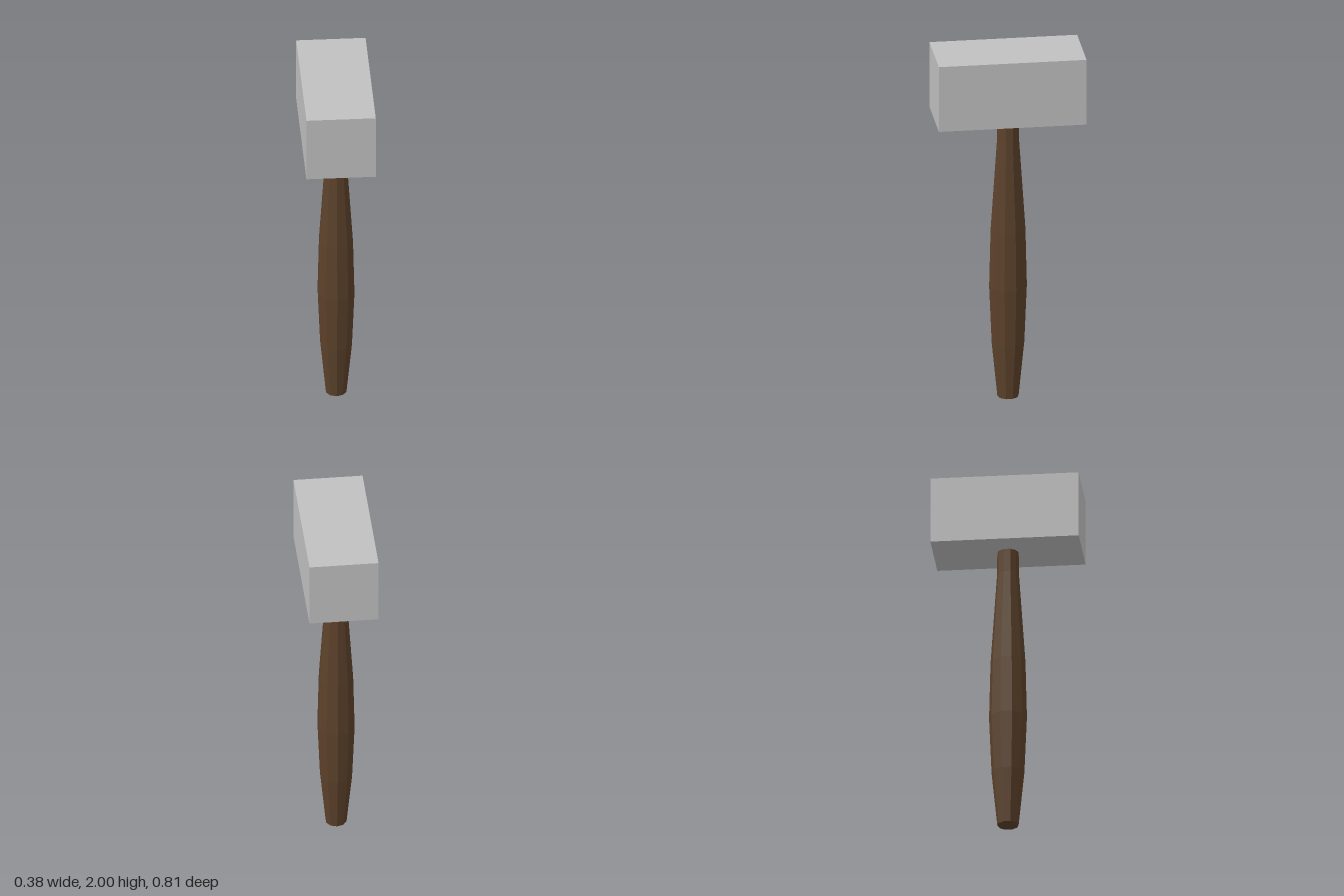
import * as THREE from 'three';

export function createModel() {
  const model = new THREE.Group();
  model.name = 'hammer';

  const steel = new THREE.MeshStandardMaterial({ color: 0xc0c0c0, flatShading: true });
  steel.name = 'grey steel';
  const wood = new THREE.MeshStandardMaterial({ color: 0x5c422b, flatShading: true });
  wood.name = 'dark wood';

  // Block head, long axis along z
  const head = new THREE.Mesh(new THREE.BoxGeometry(0.376, 0.376, 0.806), steel);
  head.name = 'head';
  head.position.y = 1.812;
  model.add(head);

  // Ten-sided swelling handle, closed at both ends: [radius, height]
  const profile = [
    [0, 0], [0.058, 0], [0.089, 0.31], [0.103, 0.64], [0.095, 0.97],
    [0.06, 1.49], [0.058, 1.63], [0, 1.63],
  ].map(([r, y]) => new THREE.Vector2(r, y));
  const handle = new THREE.Mesh(new THREE.LatheGeometry(profile, 10), wood);
  handle.name = 'handle';
  model.add(handle);

  return model;
}
